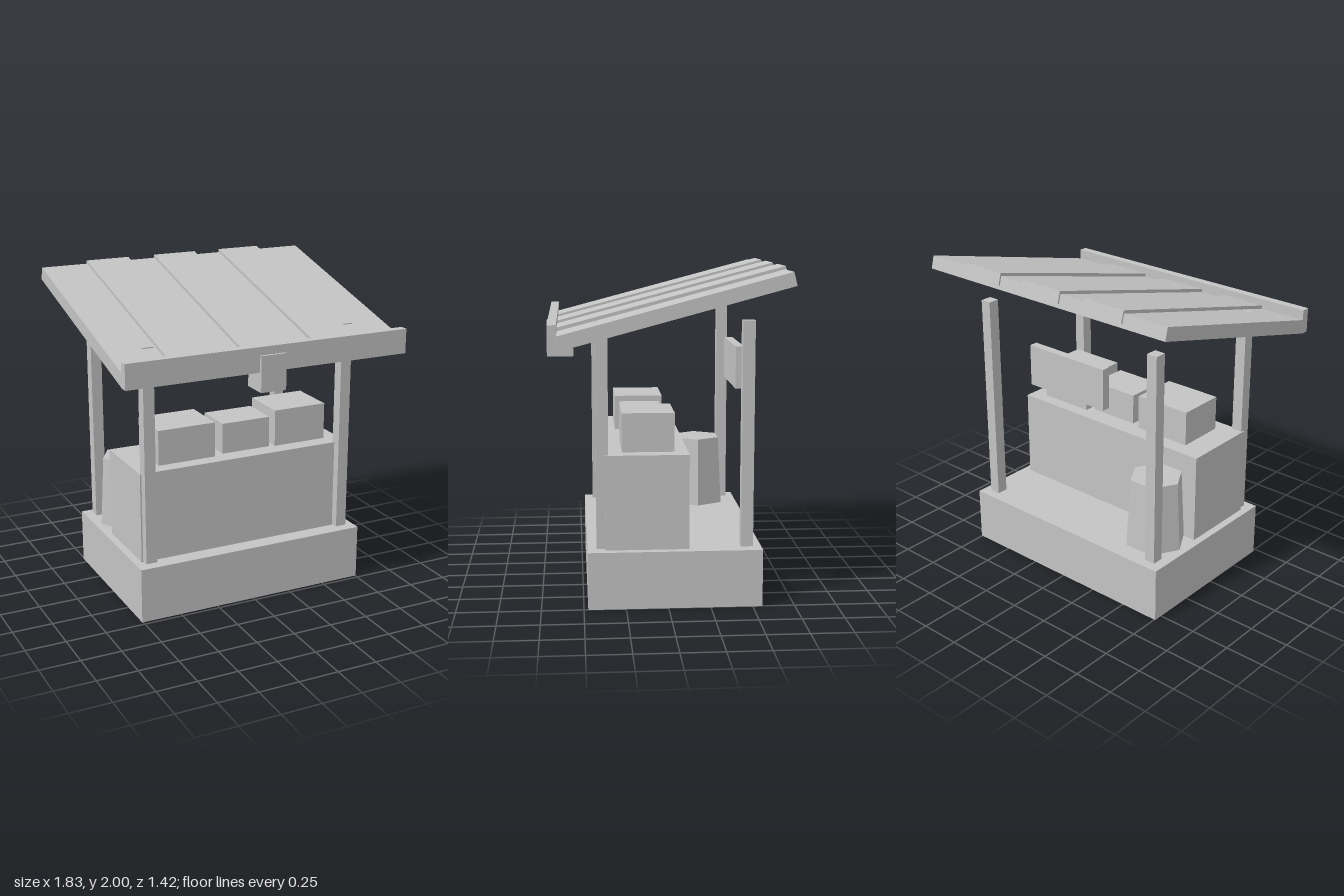
import * as THREE from 'three';

export function createModel() {
  const group = new THREE.Group();
  group.name = 'marketStall';
  const grey = new THREE.MeshStandardMaterial({ color: 0xc4c4c4, flatShading: true });
  grey.name = 'plainGrey';

  const add = (name, geometry) => {
    const mesh = new THREE.Mesh(geometry, grey);
    mesh.name = name;
    group.add(mesh);
    return mesh;
  };

  // Box given by its limits on each axis
  const box = (name, [x0, x1], [y0, y1], [z0, z1]) =>
    add(name, new THREE.BoxGeometry(x1 - x0, y1 - y0, z1 - z0))
      .position.set((x0 + x1) / 2, (y0 + y1) / 2, (z0 + z1) / 2);

  // Side profile of [z, y] points extruded across x
  const slab = (name, x0, x1, points) => {
    const shape = new THREE.Shape(points.map(([z, y]) => new THREE.Vector2(-z, y)));
    const geometry = new THREE.ExtrudeGeometry(shape, { depth: x1 - x0, bevelEnabled: false });
    geometry.rotateY(Math.PI / 2).translate(x0, 0, 0);
    add(name, geometry);
  };

  // Platform and counter
  box('platform', [-0.757, 0.755], [0, 0.345], [-0.557, 0.475]);
  box('counter', [-0.71, 0.705], [0.345, 0.912], [-0.125, 0.37]);

  // Four posts
  for (const [x, side] of [[-0.665, 'Right'], [0.66, 'Left']]) {
    box('frontPost' + side, [x - 0.035, x + 0.035], [0.352, 1.693], [0.35, 0.422]);
    box('backPost' + side, [x - 0.035, x + 0.035], [0.352, 1.693], [-0.505, -0.433]);
  }

  // Crates on the counter
  box('crateRight', [-0.55, -0.175], [0.912, 1.132], [-0.025, 0.28]);
  box('crateMiddle', [-0.11, 0.215], [0.912, 1.106], [0, 0.255]);
  box('crateLeft', [0.25, 0.605], [0.912, 1.145], [-0.045, 0.267]);

  // Six-sided tapered barrel behind the counter
  const barrel = new THREE.CylinderGeometry(0.165, 0.19, 0.448, 6);
  barrel.rotateY(Math.PI / 2);
  add('barrel', barrel).position.set(-0.53, 0.576, -0.283);

  // Sloping roof, raised panels and front lip
  slab('roof', -0.915, 0.91, [[0.645, 1.54], [-0.704, 1.902], [-0.684, 1.98], [0.645, 1.628]]);
  for (const [x0, x1] of [[-0.615, -0.328], [-0.148, 0.144], [0.323, 0.61]]) {
    slab('roofPanel', x0, x1, [[0.642, 1.57], [-0.708, 1.928], [-0.688, 2], [0.642, 1.65]]);
  }
  box('roofLip', [-0.915, 0.91], [1.54, 1.692], [0.64, 0.692]);

  // Hanging sign board and front lantern
  box('signBoard', [-0.296, 0.291], [1.238, 1.498], [-0.497, -0.445]);
  box('lantern', [-0.085, 0.079], [1.422, 1.642], [0.545, 0.708]);

  return group;
}
